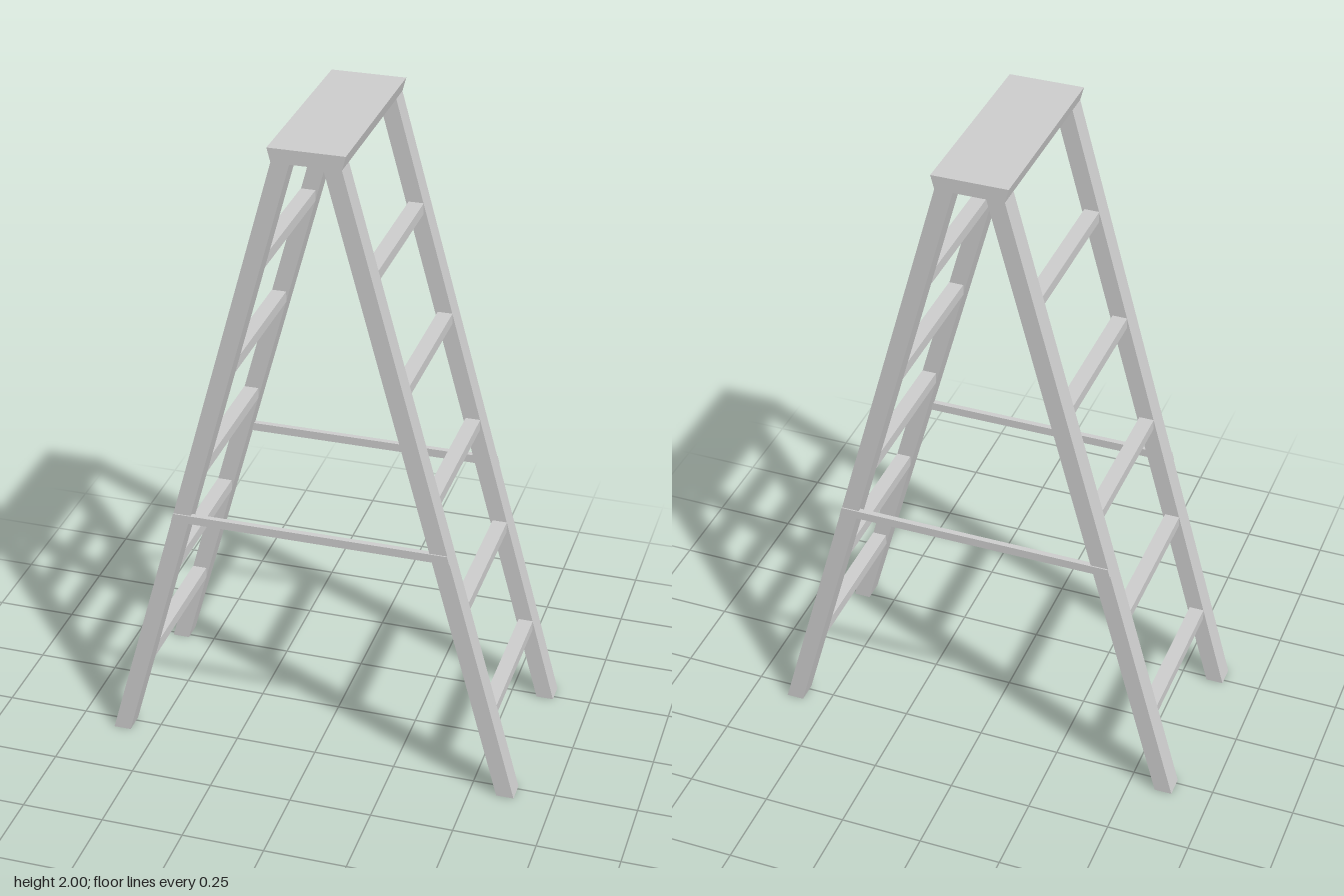
import * as THREE from 'three';

const material = new THREE.MeshStandardMaterial({ color: 0xcccccc, flatShading: true });

// Extrudes an outline in the xy plane between two z positions
function slab(name, points, z0, z1) {
  const shape = new THREE.Shape(points.map(([x, y]) => new THREE.Vector2(x, y)));
  const geometry = new THREE.ExtrudeGeometry(shape, { depth: z1 - z0, bevelEnabled: false });
  geometry.translate(0, 0, z0);
  const mesh = new THREE.Mesh(geometry, material);
  mesh.name = name;
  return mesh;
}

const HEIGHT = 2, CAP_BOTTOM = 1.958;
const SLOPE = 0.273;
const outerX = (y) => 0.635 - SLOPE * y;
const innerX = (y) => 0.582 - SLOPE * y;
const Z_OUT = 0.3, Z_IN = 0.235;

export function createModel() {
  const ladder = new THREE.Group();
  ladder.name = 'stepladder';

  // Two mirrored ladder sides, each with two legs and five rungs
  for (const side of [1, -1]) {
    const frame = new THREE.Group();
    frame.name = side > 0 ? 'leftFrame' : 'rightFrame';

    const legOutline = [
      [side * innerX(0), 0], [side * outerX(0), 0],
      [side * outerX(CAP_BOTTOM), CAP_BOTTOM], [side * innerX(CAP_BOTTOM), CAP_BOTTOM],
    ];
    frame.add(slab('frontLeg', legOutline, Z_IN, Z_OUT));
    frame.add(slab('backLeg', legOutline, -Z_OUT, -Z_IN));

    for (let i = 0; i < 5; i++) {
      const y = 0.262 + i * 0.342;
      const rung = new THREE.Mesh(new THREE.BoxGeometry(0.045, 0.034, 2 * Z_IN), material);
      rung.name = 'rung';
      rung.position.set(side * (innerX(y) + outerX(y)) / 2, y, 0);
      frame.add(rung);
    }
    ladder.add(frame);
  }

  // Top platform with ends that narrow downwards
  ladder.add(slab('topPlatform', [
    [-0.1, CAP_BOTTOM], [0.1, CAP_BOTTOM], [0.111, HEIGHT], [-0.111, HEIGHT],
  ], -Z_OUT, Z_OUT));

  // Thin spreader bars, cut flush with the outer edges of the legs
  const low = 0.782, high = 0.808;
  const barOutline = [
    [-outerX(low), low], [outerX(low), low], [outerX(high), high], [-outerX(high), high],
  ];
  ladder.add(slab('frontSpreader', barOutline, 0.287, 0.304));
  ladder.add(slab('backSpreader', barOutline, -0.304, -0.287));

  return ladder;
}
